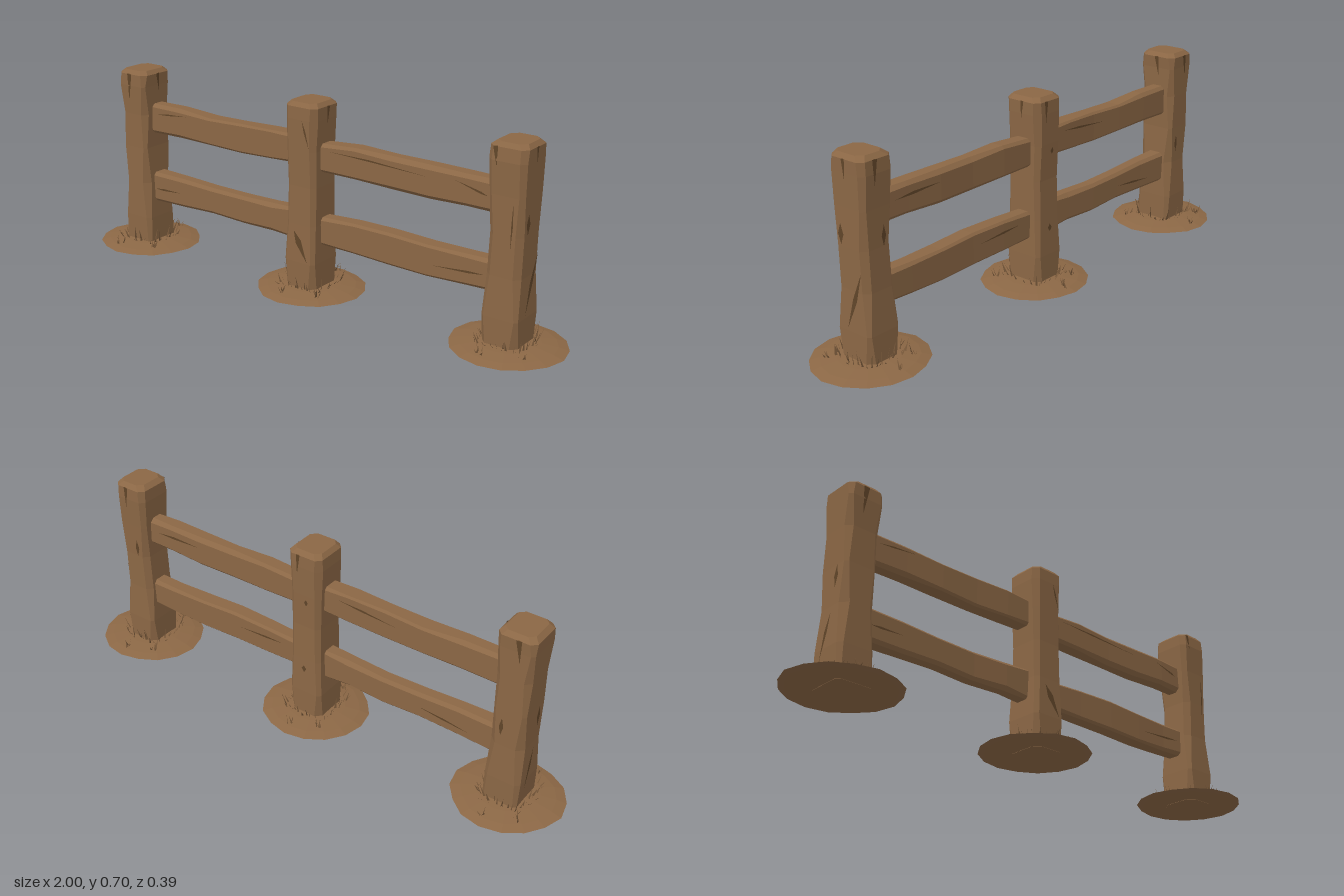
import * as THREE from 'three';

const wood = new THREE.MeshStandardMaterial({ color: 0x8b6745, flatShading: true });
wood.name = 'brown wood';
const grassMat = new THREE.MeshStandardMaterial({ color: 0x7a5a3b, flatShading: true, side: THREE.DoubleSide });
grassMat.name = 'dry grass brown';
const crackMat = new THREE.MeshStandardMaterial({ color: 0x604529, flatShading: true, side: THREE.DoubleSide });
crackMat.name = 'crack brown';

// Small seeded generator, values in 0..1
function seeded(seed) {
  let s = seed * 7919 + 17;
  return () => (s = (s * 16807) % 2147483647) / 2147483647;
}

function toGeometry(positions) {
  const g = new THREE.BufferGeometry();
  g.setAttribute('position', new THREE.Float32BufferAttribute(positions, 3));
  g.computeVertexNormals();
  return g;
}

// Skin rings of [x, y, z] points stacked upwards, with closed ends
function loft(rings) {
  const out = [];
  const tri = (...pts) => pts.forEach((p) => out.push(...p));
  const n = rings[0].length;
  const middle = (r) => [0, 1, 2].map((k) => r.reduce((sum, p) => sum + p[k], 0) / n);
  const first = rings[0], last = rings[rings.length - 1];
  for (let i = 0; i < n; i++) {
    const j = (i + 1) % n;
    for (let l = 0; l < rings.length - 1; l++) {
      const a = rings[l], b = rings[l + 1];
      tri(a[i], a[j], b[j]);
      tri(a[i], b[j], b[i]);
    }
    tri(middle(first), first[j], first[i]);
    tri(middle(last), last[i], last[j]);
  }
  return toGeometry(out);
}

// Eight-sided ring: a rectangle with cut corners
function ring({ y, hx, hz, dx, dz, c }) {
  return [
    [-hx + c, hz], [hx - c, hz], [hx, hz - c], [hx, -hz + c],
    [hx - c, -hz], [-hx + c, -hz], [-hx, -hz + c], [-hx, hz - c],
  ].map(([x, z]) => [x + dx, y, z + dz]);
}

// Upright hewn timber. Each crack is [face, u0, y0, u1, y1, half width, widest point 0..1];
// faces 0..3 are +z, +x, -z, -x
function timber(name, levels, cracks) {
  const group = new THREE.Group();
  group.name = name;
  const body = new THREE.Mesh(loft(levels.map(ring)), wood);
  body.name = name + 'Body';
  group.add(body);

  const at = (y, key) => {
    let i = 0;
    while (i < levels.length - 2 && levels[i + 1].y < y) i++;
    const a = levels[i], b = levels[i + 1];
    return THREE.MathUtils.lerp(a[key], b[key], (y - a.y) / (b.y - a.y));
  };
  const onFace = (face, u, y) => {
    const dx = at(y, 'dx'), dz = at(y, 'dz');
    const hx = at(y, 'hx') + 0.002, hz = at(y, 'hz') + 0.002;
    return [[u + dx, y, hz + dz], [hx + dx, y, -u + dz], [-u + dx, y, -hz + dz], [-hx + dx, y, u + dz]][face];
  };
  const out = [];
  for (const [face, u0, y0, u1, y1, w, m] of cracks) {
    const len = Math.hypot(u1 - u0, y1 - y0);
    const nu = ((y1 - y0) / len) * w, ny = (-(u1 - u0) / len) * w;
    const um = u0 + (u1 - u0) * m, ym = y0 + (y1 - y0) * m;
    const a = onFace(face, u0, y0), b = onFace(face, um + nu, ym + ny);
    const c = onFace(face, u1, y1), d = onFace(face, um - nu, ym - ny);
    out.push(...a, ...b, ...d, ...b, ...c, ...d);
  }
  const crackMesh = new THREE.Mesh(toGeometry(out), crackMat);
  crackMesh.name = name + 'Cracks';
  group.add(crackMesh);
  return group;
}

function post(name, seed, cracks) {
  const rnd = seeded(seed), j = (s) => (rnd() - 0.5) * s;
  const levels = [[0, 0], [0.12, 0], [0.26, -0.004], [0.4, -0.006], [0.53, -0.003], [0.64, 0], [0.684, 0], [0.699, -0.013]]
    .map(([y, d]) => ({ y, hx: 0.066 + d + j(0.004), hz: 0.073 + d + j(0.004), dx: j(0.005), dz: j(0.003), c: 0.017 + j(0.014) }));
  return timber(name, levels, cracks);
}

// Rails are timbers laid on their side, so local y runs along x
function rail(name, seed, x, y, cracks) {
  const rnd = seeded(seed), j = (s) => (rnd() - 0.5) * s;
  const levels = [-0.36, -0.2, -0.05, 0.1, 0.24, 0.36]
    .map((t) => ({ y: t, hx: 0.054 + j(0.008), hz: 0.032 + j(0.006), dx: j(0.008), dz: j(0.006) - 0.003, c: 0.011 + j(0.01) }));
  const r = timber(name, levels, cracks);
  r.rotation.z = -Math.PI / 2;
  r.position.set(x, y, 0);
  return r;
}

// Low earth mound with an uneven rim
function mound(seed) {
  const rnd = seeded(seed), n = 16;
  const wobble = Array.from({ length: n }, (_, i) => (i % 8 === 4 ? 1 : 0.96 + rnd() * 0.04));
  const rings = [[0.18, 0.001], [0.2, 0.006], [0.165, 0.015], [0.11, 0.023], [0.05, 0.027]].map(([r, y]) =>
    wobble.map((w, i) => {
      const a = (i / n) * Math.PI * 2;
      return [Math.sin(a) * r * w, y, Math.cos(a) * r * w * 0.98];
    }));
  const m = new THREE.Mesh(loft(rings), wood);
  m.name = 'mound';
  return m;
}

// Grass blades hugging the post, plus two small tufts in front and behind
function grass(seed) {
  const rnd = seeded(seed), out = [];
  const blade = (x, z, h, lean, dir) => {
    const w = 0.003 + rnd() * 0.003, turn = rnd() * Math.PI;
    const cx = Math.cos(turn) * w, cz = Math.sin(turn) * w;
    out.push(x - cx, 0.012, z - cz, x + cx, 0.012, z + cz, x + Math.sin(dir) * lean, 0.018 + h, z + Math.cos(dir) * lean);
  };
  for (let i = 0; i < 48; i++) {
    const a = ((i + rnd()) / 48) * Math.PI * 2, s = Math.sin(a), c = Math.cos(a);
    const r = (0.074 + rnd() * 0.014) / Math.max(Math.abs(s), Math.abs(c)) ** 0.7;
    blade(s * r, c * r, 0.015 + rnd() ** 2 * 0.055, 0.005 + rnd() * 0.022, a + rnd() - 0.5);
  }
  for (const [x, z] of [[0.01, -0.15], [-0.03, 0.135], [-0.09, -0.105], [0.1, 0.09]])
    for (let i = 0; i < 5; i++)
      blade(x + (rnd() - 0.5) * 0.02, z + (rnd() - 0.5) * 0.02, 0.012 + rnd() * 0.022, 0.014, rnd() * 6.28);
  const m = new THREE.Mesh(toGeometry(out), grassMat);
  m.name = 'grass';
  return m;
}

export function createModel() {
  const fence = new THREE.Group();
  fence.name = 'fence';

  const posts = [
    ['rightPost', -0.8, [
      [0, -0.012, 0.58, -0.006, 0.686, 0.011, 0.98], [1, 0.01, 0.61, 0, 0.686, 0.008, 0.98],
      [2, 0.02, 0.6, 0.012, 0.686, 0.01, 0.98], [2, -0.02, 0.3, -0.02, 0.37, 0.008, 0.5],
      [3, 0.02, 0.32, 0.025, 0.4, 0.01, 0.5], [3, -0.03, 0.08, 0.01, 0.24, 0.007, 0.6],
    ]],
    ['middlePost', 0, [
      [0, -0.022, 0.235, 0.04, 0.125, 0.013, 0.35], [0, 0.015, 0.64, 0.045, 0.54, 0.004, 0.4],
      [1, 0.0, 0.62, 0.005, 0.686, 0.007, 0.98], [2, 0.0, 0.205, 0.0, 0.235, 0.01, 0.5],
      [2, 0.01, 0.49, 0.01, 0.515, 0.008, 0.5], [2, -0.025, 0.61, -0.02, 0.686, 0.008, 0.98],
    ]],
    ['leftPost', 0.8, [
      [0, -0.03, 0.62, -0.04, 0.686, 0.008, 0.98], [0, 0.025, 0.35, 0.03, 0.52, 0.003, 0.5],
      [1, -0.03, 0.405, -0.03, 0.475, 0.012, 0.5], [1, -0.02, 0.13, 0.05, 0.33, 0.009, 0.5],
      [1, 0.0, 0.62, -0.003, 0.686, 0.007, 0.98], [2, 0.02, 0.4, 0.02, 0.47, 0.009, 0.5],
      [2, -0.015, 0.6, -0.01, 0.686, 0.009, 0.98],
    ]],
  ];
  posts.forEach(([name, x, cracks], i) => {
    const base = new THREE.Group();
    base.name = name + 'Assembly';
    base.position.x = x;
    base.add(post(name, i + 3, cracks), mound(i + 11), grass(i + 21));
    fence.add(base);
  });

  // On a rail's front face, u points down
  const rails = [
    ['upperRightRail', -0.4, 0.513, [[0, -0.02, -0.32, -0.035, -0.16, 0.003, 0.4], [2, 0.01, 0.05, 0.025, 0.28, 0.004, 0.6]]],
    ['lowerRightRail', -0.4, 0.238, [[0, 0.005, -0.33, 0, -0.2, 0.004, 0.3], [2, -0.02, -0.25, 0, -0.05, 0.004, 0.5]]],
    ['upperLeftRail', 0.4, 0.506, [[0, -0.03, -0.3, -0.02, 0.1, 0.003, 0.4], [0, -0.03, 0.2, 0, 0.32, 0.004, 0.8], [2, 0.02, 0.1, 0.01, 0.3, 0.005, 0.6]]],
    ['lowerLeftRail', 0.4, 0.235, [[0, 0.01, 0.12, 0, 0.32, 0.004, 0.7], [2, 0.02, -0.28, 0.01, -0.08, 0.004, 0.4]]],
  ];
  rails.forEach(([name, x, y, cracks], i) => fence.add(rail(name, i + 31, x, y, cracks)));
  return fence;
}
